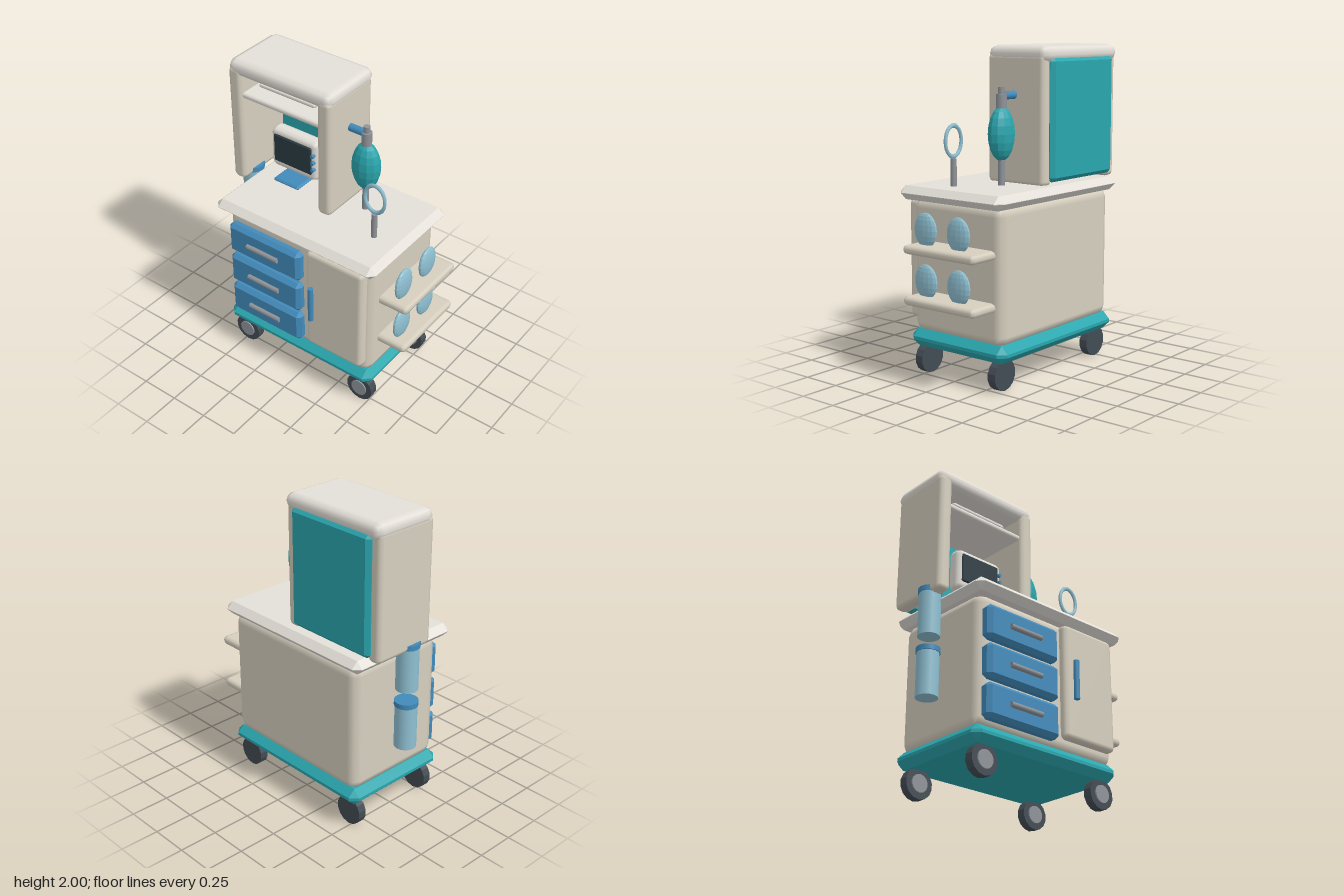
import * as THREE from 'three';
import { RoundedBoxGeometry } from 'three/addons/geometries/RoundedBoxGeometry.js';
import { ConvexGeometry } from 'three/addons/geometries/ConvexGeometry.js';

const mat = (color, flatShading = false) => new THREE.MeshStandardMaterial({ color, flatShading });
const beige = mat(0xd6cfbf), white = mat(0xe3dfd8), teal = mat(0x2aa6ae), blue = mat(0x428bbb);
const paleBlue = mat(0x8fc0d2), dark = mat(0x434c54, true), steel = mat(0x8f9499), screenMat = mat(0x2b3b43);
const tealFacet = mat(0x2aa6ae, true), paleFacet = mat(0x8fc0d2, true);

export function createModel() {
  const model = new THREE.Group();

  const add = (name, geometry, material, x = 0, y = 0, z = 0) => {
    const mesh = new THREE.Mesh(geometry, material);
    mesh.name = name;
    mesh.position.set(x, y, z);
    model.add(mesh);
    return mesh;
  };

  // Boxes are given by their limits [min, max] on each axis
  const size = ([a, b]) => b - a;
  const mid = ([a, b]) => (a + b) / 2;
  const rounded = (name, material, x, y, z, r) =>
    add(name, new RoundedBoxGeometry(size(x), size(y), size(z), 1, r), material, mid(x), mid(y), mid(z));

  // Box with a single 45 degree chamfer on all edges
  const chamfered = (name, material, x, y, z, r) => {
    const h = [size(x) / 2, size(y) / 2, size(z) / 2];
    const points = [];
    for (const sx of [-1, 1]) for (const sy of [-1, 1]) for (const sz of [-1, 1])
      for (let axis = 0; axis < 3; axis++) {
        const p = h.map((v, i) => (i === axis ? v : v - r));
        points.push(new THREE.Vector3(p[0] * sx, p[1] * sy, p[2] * sz));
      }
    return add(name, new ConvexGeometry(points), material, mid(x), mid(y), mid(z));
  };

  // Cylinder centred on a point, along the given axis
  const rod = (name, material, axis, r, length, x, y, z, sides = 10) => {
    const g = new THREE.CylinderGeometry(r, r, length, sides);
    if (axis === 'x') g.rotateZ(Math.PI / 2);
    if (axis === 'z') g.rotateX(Math.PI / 2);
    return add(name, g, material, x, y, z);
  };

  // Cart body
  chamfered('base', teal, [-0.59, 0.54], [0.18, 0.29], [-0.405, 0.34], 0.045);
  rounded('cabinetBody', beige, [-0.56, 0.52], [0.275, 1.1], [-0.38, 0.315], 0.06);
  chamfered('countertop', white, [-0.615, 0.58], [1.085, 1.17], [-0.415, 0.387], 0.041);

  // Wheels with hubs on the front side
  for (const x of [-0.48, 0.44]) for (const z of [0.26, -0.315]) {
    rod('wheel', dark, 'z', 0.095, 0.055, x, 0.1, z, 14);
    rod('wheelHub', steel, 'z', 0.056, 0.03, x, 0.1, z + 0.021, 14);
  }

  // Drawers and their bar handles
  for (const y of [0.91, 0.668, 0.427]) {
    chamfered('drawer', blue, [-0.525, 0.03], [y - 0.108, y + 0.108], [0.28, 0.37], 0.025);
    rod('drawerHandle', steel, 'x', 0.017, 0.24, -0.247, y, 0.375);
  }

  // Door and handle
  rounded('door', beige, [0.08, 0.495], [0.35, 1.083], [0.28, 0.365], 0.03);
  rod('doorHandle', blue, 'y', 0.018, 0.25, 0.142, 0.717, 0.395);

  // Side shelves carrying upright discs
  for (const y of [0.82, 0.512]) {
    rounded('sideShelf', beige, [0.48, 0.715], [y - 0.028, y + 0.028], [-0.333, 0.217], 0.026);
    for (const z of [0.11, -0.145])
      add('shelfDisc', new THREE.SphereGeometry(1, 14, 10), paleFacet, 0.62, y + 0.113, z).scale.set(0.027, 0.105, 0.086);
  }

  // Lidded canisters on the other side
  for (const y of [0.895, 0.51]) {
    rod('canister', paleBlue, 'y', 0.068, 0.28, -0.645, y + 0.14, -0.035, 16);
    rod('canisterLid', blue, 'y', 0.073, 0.032, -0.645, y + 0.294, -0.035, 16);
  }

  // Upper hutch
  rounded('hutchRoof', white, [-0.695, 0.067], [1.895, 2], [-0.345, 0.105], 0.05);
  for (const x of [[-0.692, -0.6], [-0.03, 0.064]])
    rounded('hutchSide', beige, x, [1.16, 1.95], [-0.325, 0.103], 0.03);
  chamfered('hutchBack', teal, [-0.632, 0.003], [1.185, 1.93], [-0.355, -0.29], 0.025);
  rounded('hutchShelf', white, [-0.632, 0.004], [1.745, 1.783], [-0.3, 0.08], 0.018);
  rounded('lightBar', white, [-0.525, -0.105], [1.822, 1.85], [-0.04, 0.02], 0.013);

  // Monitor with screen, buttons and the plate below it
  rounded('monitor', white, [-0.463, -0.11], [1.283, 1.56], [-0.1, 0], 0.035);
  chamfered('screen', screenMat, [-0.432, -0.145], [1.332, 1.525], [-0.03, 0.01], 0.007);
  for (const y of [1.475, 1.425, 1.375]) rod('monitorButton', blue, 'z', 0.012, 0.03, -0.133, y, 0.002);
  chamfered('monitorPlate', blue, [-0.385, -0.192], [1.235, 1.26], [-0.08, 0.08], 0.01);

  // Breathing bag on a post with a side tube
  const bagX = 0.183, bagZ = -0.105;
  rod('bagPost', steel, 'y', 0.021, 0.18, bagX, 1.25, bagZ);
  add('breathingBag', new THREE.SphereGeometry(1, 12, 10), tealFacet, bagX, 1.48, bagZ).scale.set(0.095, 0.163, 0.075);
  rod('bagNeck', steel, 'y', 0.033, 0.085, bagX, 1.673, bagZ);
  rod('bagCap', steel, 'y', 0.021, 0.06, bagX, 1.726, bagZ);
  rod('bagTube', blue, 'x', 0.025, 0.13, 0.115, 1.705, bagZ);

  // Oval ring on a post
  rod('ringPost', steel, 'y', 0.019, 0.18, 0.388, 1.245, 0.095);
  add('ring', new THREE.TorusGeometry(0.07, 0.011, 6, 24), paleBlue, 0.388, 1.44, 0.095).scale.y = 1.32;

  return model;
}
